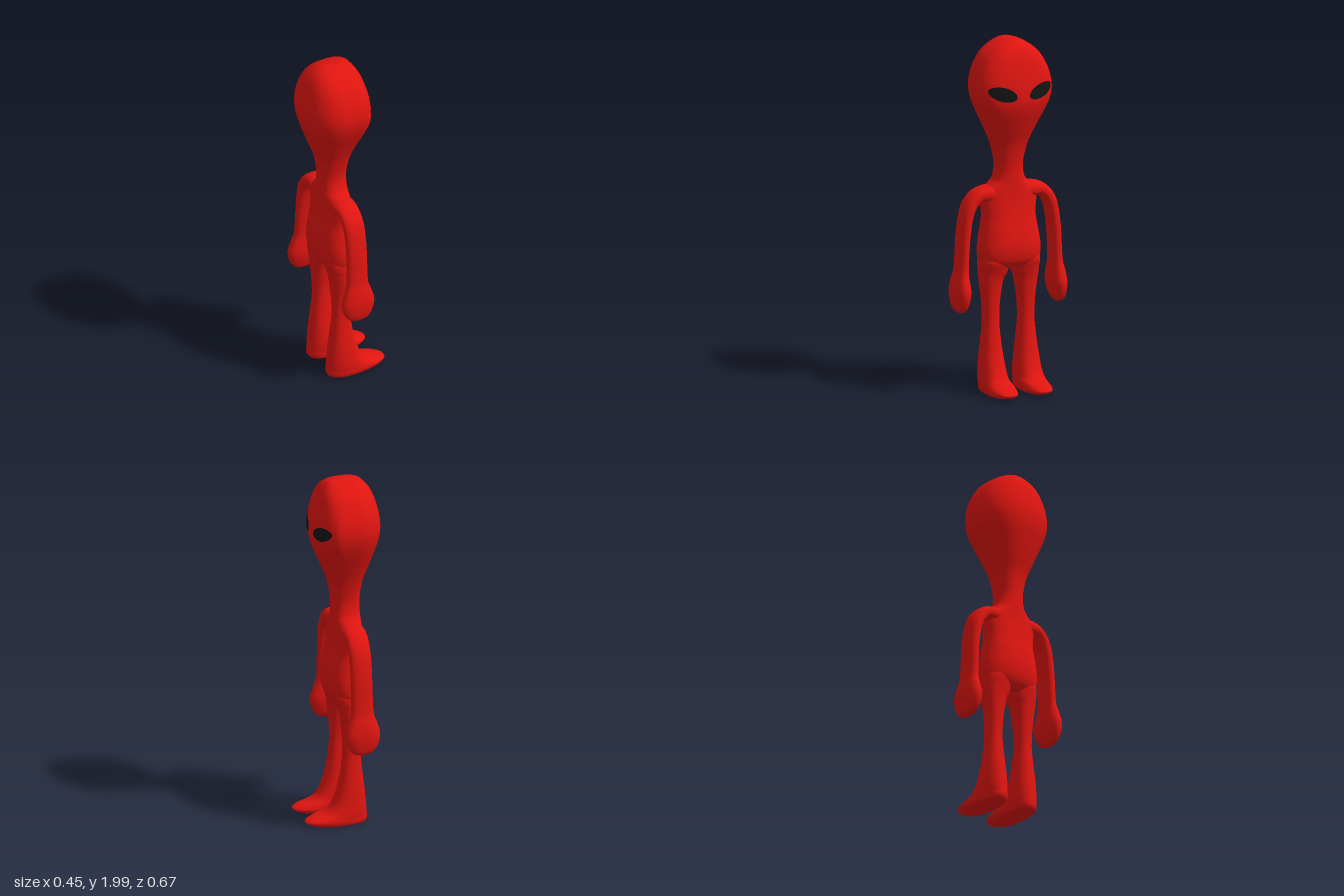
import * as THREE from 'three';

const skin = new THREE.MeshStandardMaterial({ color: 0xe01510, roughness: 0.7 });
const black = new THREE.MeshStandardMaterial({ color: 0x141414, roughness: 0.7, side: THREE.DoubleSide });

// Smooth loft along a path in the y-z plane. The figure faces +x.
// Row: [y, z, back x, front x, half thickness, front squareness, face wedge]
function loft(rows, side = 1, steps = 72, sides = 48) {
  const curves = [0, 1, 2, 3, 4, 5, 6].map(k =>
    new THREE.SplineCurve(rows.map(r => new THREE.Vector2((r[k] ?? (k === 5 ? 2.4 : 0)) * (k === 1 ? side : 1), 0))));
  const at = t => curves.map(c => c.getPoint(THREE.MathUtils.clamp(t, 0, 1)).x);
  const pos = [], index = [];
  const power = (v, p) => Math.sign(v) * Math.pow(Math.abs(v), 2 / p);
  for (let i = 0; i <= steps; i++) {
    const t = i / steps;
    const [y, z, back, front, half, square, wedge] = at(t);
    const a = at(t - 0.005), b = at(t + 0.005);
    const len = Math.hypot(b[0] - a[0], b[1] - a[1]) || 1;
    const ty = (b[0] - a[0]) / len, tz = (b[1] - a[1]) / len;
    for (let j = 0; j < sides; j++) {
      const ang = j / sides * Math.PI * 2, c = Math.cos(ang), s = Math.sin(ang);
      const p = c > 0 ? square : 2.4;
      const n = Math.max(half, 0.001) * power(s, p);
      let x = (back + front) / 2 + (front - back) / 2 * power(c, p);
      if (c > 0) x -= wedge * Math.abs(n) * Math.min(1, c * 1.6);
      pos.push(x, y - tz * n, z + ty * n);
    }
  }
  for (let i = 0; i < steps; i++) for (let j = 0; j < sides; j++) {
    const k = (j + 1) % sides;
    const a = i * sides + j, b = i * sides + k, c = a + sides, d = b + sides;
    index.push(a, c, b, b, c, d);
  }
  // End caps
  for (const end of [0, 1]) {
    const [y, z, back, front] = at(end), base = end * steps * sides, centre = pos.length / 3;
    pos.push((back + front) / 2, y, z);
    for (let j = 0; j < sides; j++) {
      const a = base + j, b = base + (j + 1) % sides;
      if (end) index.push(centre, b, a); else index.push(centre, a, b);
    }
  }
  const g = new THREE.BufferGeometry();
  g.setAttribute('position', new THREE.Float32BufferAttribute(pos, 3));
  g.setIndex(index);
  g.computeVertexNormals();
  return g;
}

// Torso, neck and head
const torsoRows = [
  [0.705, 0, -0.09, 0.015, 0.10],
  [0.72, 0, -0.115, 0.045, 0.15],
  [0.76, 0, -0.14, 0.072, 0.178],
  [0.83, 0, -0.152, 0.082, 0.18],
  [0.92, 0, -0.147, 0.07, 0.166],
  [1.0, 0, -0.133, 0.052, 0.156],
  [1.08, 0, -0.123, 0.04, 0.164],
  [1.13, 0, -0.12, 0.036, 0.163],
  [1.17, 0, -0.12, 0.035, 0.128],
  [1.21, 0, -0.12, 0.036, 0.09],
  [1.29, 0, -0.12, 0.038, 0.077],
  [1.4, 0, -0.135, 0.058, 0.1, 2.6, 0.05],
  [1.5, 0, -0.17, 0.098, 0.14, 3, 0.1],
  [1.6, 0, -0.202, 0.14, 0.186, 3.8, 0.16],
  [1.67, 0, -0.22, 0.157, 0.211, 4.5, 0.18],
  [1.74, 0, -0.225, 0.154, 0.22, 4.5, 0.16],
  [1.82, 0, -0.214, 0.138, 0.206, 4, 0.1],
  [1.9, 0, -0.19, 0.115, 0.169, 3.4, 0.05],
  [1.95, 0, -0.162, 0.092, 0.124, 3],
  [1.985, 0, -0.125, 0.063, 0.068, 2.6],
  [1.998, 0, -0.09, 0.03, 0.022],
  [2.0, 0, -0.05, 0.0, 0.004],
];

// Leg with foot, from sole to hip
const legRows = [
  [0.008, 0.105, -0.10, 0.12, 0.055],
  [0.014, 0.105, -0.122, 0.185, 0.07],
  [0.035, 0.105, -0.13, 0.225, 0.077],
  [0.055, 0.105, -0.128, 0.195, 0.076],
  [0.08, 0.106, -0.125, 0.115, 0.074],
  [0.12, 0.106, -0.122, 0.074, 0.071],
  [0.2, 0.107, -0.114, 0.041, 0.064],
  [0.3, 0.107, -0.102, 0.02, 0.053],
  [0.4, 0.107, -0.093, 0.009, 0.045],
  [0.5, 0.107, -0.095, 0.01, 0.048],
  [0.6, 0.106, -0.103, 0.018, 0.06],
  [0.66, 0.104, -0.11, 0.028, 0.071],
  [0.7, 0.097, -0.117, 0.04, 0.082],
  [0.75, 0.092, -0.125, 0.055, 0.084],
  [0.8, 0.09, -0.12, 0.04, 0.07],
];

// Arm with mitten hand, from fingertips to shoulder
const armRows = [
  [0.472, 0.3, -0.06, -0.025, 0.008],
  [0.488, 0.298, -0.1, 0.018, 0.025],
  [0.53, 0.295, -0.13, 0.045, 0.038],
  [0.59, 0.292, -0.141, 0.056, 0.045],
  [0.65, 0.29, -0.126, 0.04, 0.04],
  [0.71, 0.286, -0.107, 0.022, 0.032],
  [0.8, 0.281, -0.103, 0.02, 0.031],
  [0.9, 0.275, -0.102, 0.02, 0.032],
  [1.0, 0.261, -0.102, 0.02, 0.033],
  [1.07, 0.238, -0.102, 0.02, 0.035],
  [1.12, 0.193, -0.104, 0.02, 0.036],
  [1.13, 0.13, -0.108, 0.024, 0.045],
  [1.12, 0.06, -0.105, 0.02, 0.045],
];

export function createModel() {
  const model = new THREE.Group();
  const add = (name, geometry, material = skin) => {
    const m = new THREE.Mesh(geometry, material);
    m.name = name;
    model.add(m);
    return m;
  };
  const body = add('headAndTorso', loft(torsoRows, 1, 120, 64));
  body.updateMatrixWorld(true);

  for (const side of [1, -1]) {
    const label = side > 0 ? 'Positive' : 'Negative';
    add('leg' + label, loft(legRows, side));
    add('arm' + label, loft(armRows, side));

    // Slanted oval eye laid onto the face
    const eye = new THREE.RingGeometry(0.0005, 1, 32, 5);
    const p = eye.attributes.position, ray = new THREE.Raycaster();
    const dir = new THREE.Vector3(-1, 0, 0), tilt = 0.3;
    for (let i = 0; i < p.count; i++) {
      const u = p.getX(i) * 0.079, v = p.getY(i) * 0.039;
      const z = side * (0.114 + u * Math.cos(tilt) - v * Math.sin(tilt));
      const y = 1.726 + u * Math.sin(tilt) + v * Math.cos(tilt);
      ray.set(new THREE.Vector3(1, y, z), dir);
      const hit = ray.intersectObject(body)[0];
      p.setXYZ(i, (hit ? hit.point.x : 0.12) + 0.004, y, z);
    }
    // Keep the eye's faces turned outward on both sides
    if (side > 0) eye.setIndex(Array.from(eye.index.array).reverse());
    eye.computeVertexNormals();
    add('eye' + label, eye, black);
  }
  return model;
}
